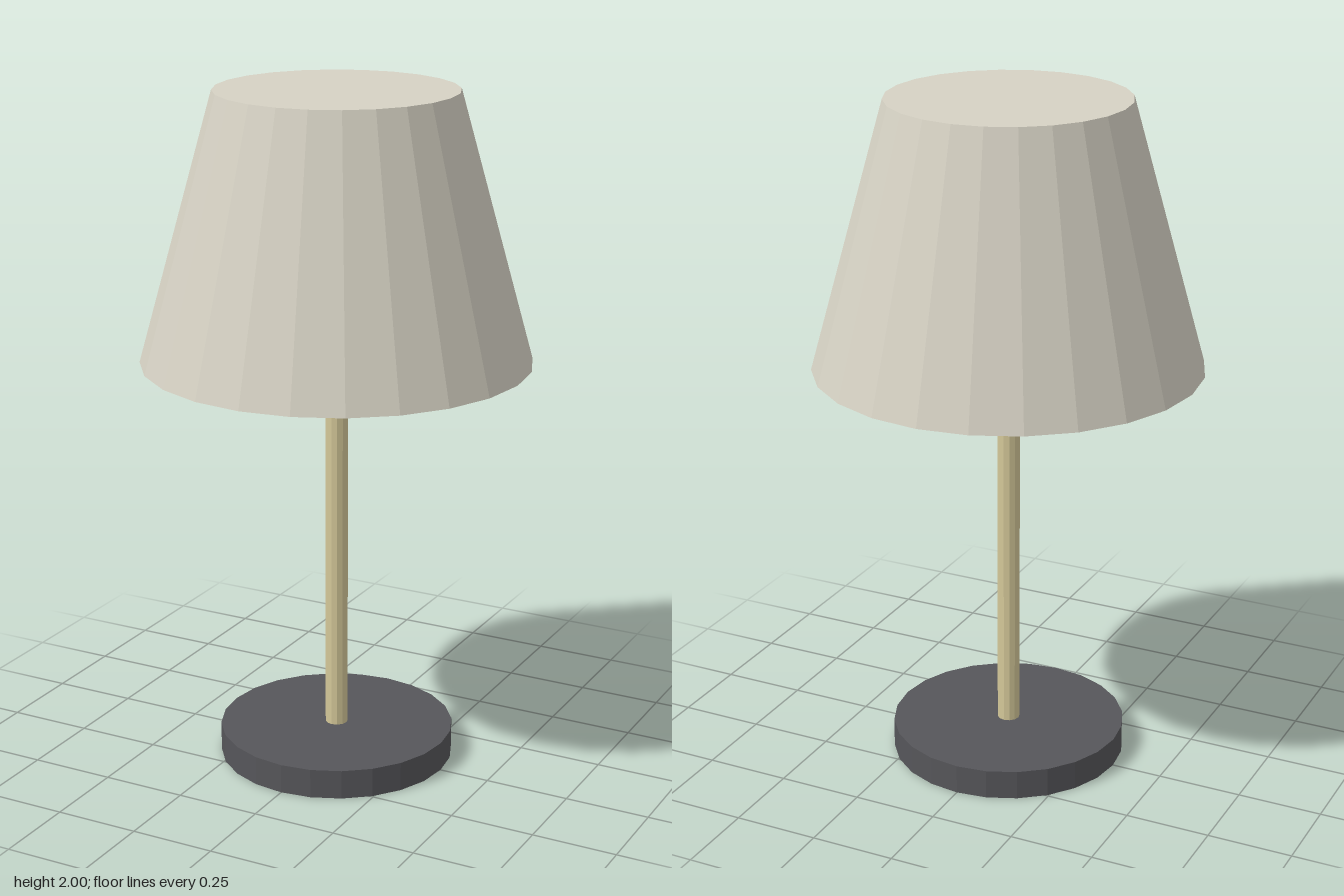
import * as THREE from 'three';

const material = (name, color) => {
  const m = new THREE.MeshStandardMaterial({ color, flatShading: true });
  m.name = name;
  return m;
};

export function createModel() {
  const lamp = new THREE.Group();
  lamp.name = 'tableLamp';

  // Upright faceted cylinder or cone spanning y0 to y1
  const addRound = (name, rTop, rBottom, y0, y1, sides, mat) => {
    const mesh = new THREE.Mesh(new THREE.CylinderGeometry(rTop, rBottom, y1 - y0, sides), mat);
    mesh.name = name;
    mesh.position.y = (y0 + y1) / 2;
    lamp.add(mesh);
  };

  // Weighted disc, slim stem and closed tapered shade
  addRound('base', 0.348, 0.348, 0, 0.087, 24, material('charcoal', 0x56565a));
  addRound('stem', 0.033, 0.033, 0.087, 1.24, 12, material('paleBrass', 0xd4c899));
  addRound('shade', 0.348, 0.565, 1.22, 2, 24, material('warmLinen', 0xd6d2c4));

  return lamp;
}
